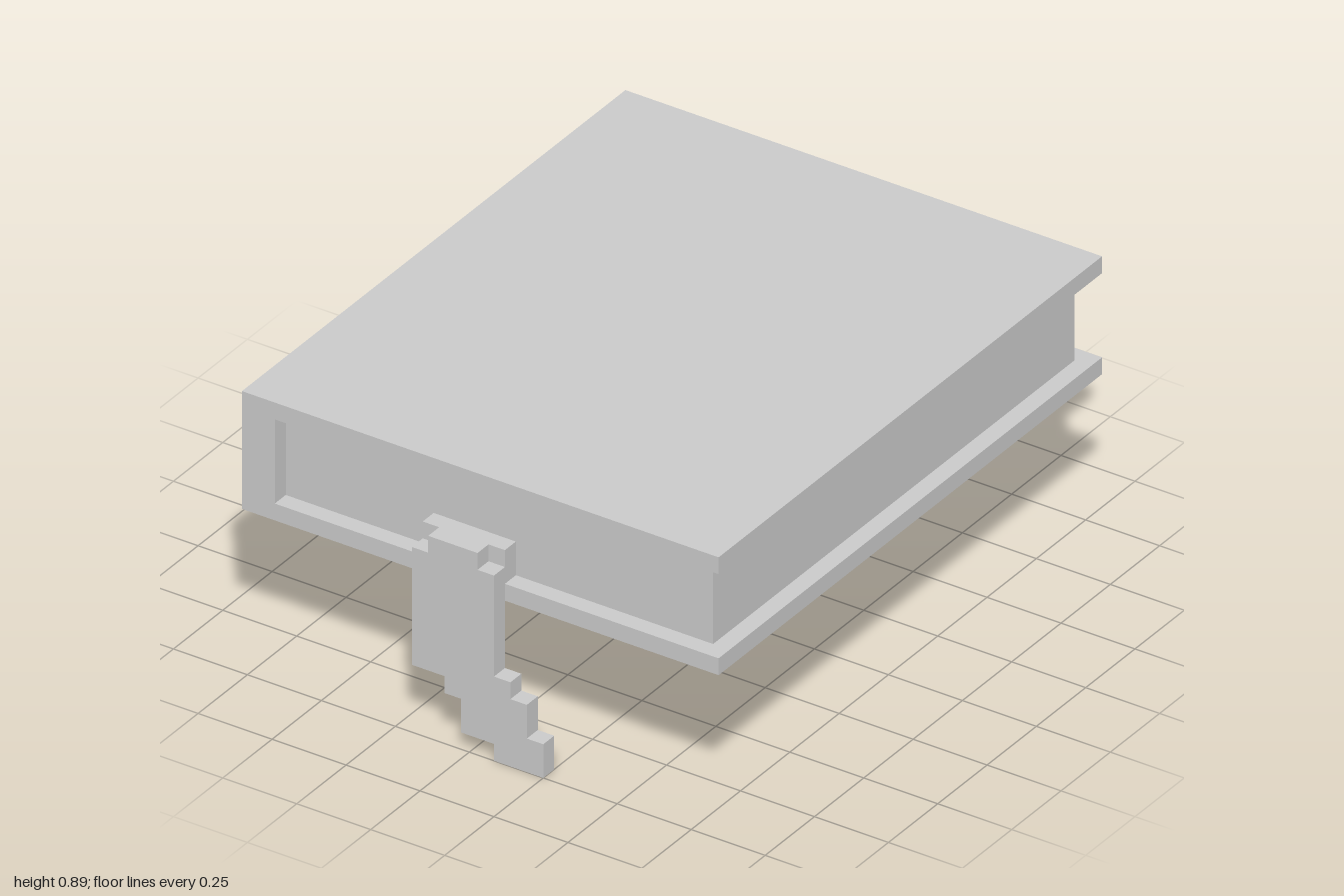
import * as THREE from 'three';

const U = 1 / 18; // one block of the grid the model is built on

const material = new THREE.MeshStandardMaterial({ color: 0xcccccc, flatShading: true });

// Box given by its lower and upper corners, in blocks
function block(name, [x0, y0, z0], [x1, y1, z1]) {
  const geometry = new THREE.BoxGeometry((x1 - x0) * U, (y1 - y0) * U, (z1 - z0) * U);
  const mesh = new THREE.Mesh(geometry, material);
  mesh.name = name;
  mesh.position.set((x0 + x1) / 2 * U, (y0 + y1) / 2 * U, (z0 + z1) / 2 * U);
  return mesh;
}

// Outline in the xy plane extruded from z0 to z1, in blocks
function slab(name, outline, z0, z1) {
  const shape = new THREE.Shape(outline.map(([x, y]) => new THREE.Vector2(x * U, y * U)));
  const geometry = new THREE.ExtrudeGeometry(shape, { depth: (z1 - z0) * U, bevelEnabled: false });
  const mesh = new THREE.Mesh(geometry, material);
  mesh.name = name;
  mesh.position.z = z0 * U;
  return mesh;
}

export function createModel() {
  const book = new THREE.Group();
  book.name = 'book';

  // Two boards joined by a thick spine on the -x side
  book.add(slab('cover', [
    [-14.5, 9], [14.5, 9], [14.5, 10], [-12.5, 10],
    [-12.5, 15], [14.5, 15], [14.5, 16], [-14.5, 16],
  ], -18, 17));

  // Page block, set in from the cover edges
  book.add(block('pages', [-12.5, 10, -17], [13.5, 15, 16]));

  // Bookmark: a stub out of the pages and a stepped ribbon hanging in front
  const bookmark = new THREE.Group();
  bookmark.name = 'bookmark';
  bookmark.add(block('bookmarkStub', [-3.5, 10, 16], [1.5, 12, 17]));
  bookmark.add(slab('bookmarkRibbon', [
    [-3.5, 4], [-1.5, 4], [-1.5, 3], [-0.5, 3], [-0.5, 1], [1.5, 1], [1.5, 0],
    [4.5, 0], [4.5, 2], [3.5, 2], [3.5, 4], [2.5, 4], [2.5, 5], [1.5, 5],
    [1.5, 11], [0.5, 11], [0.5, 12], [-2.5, 12], [-2.5, 11], [-3.5, 11],
  ], 17, 18));
  book.add(bookmark);

  return book;
}
